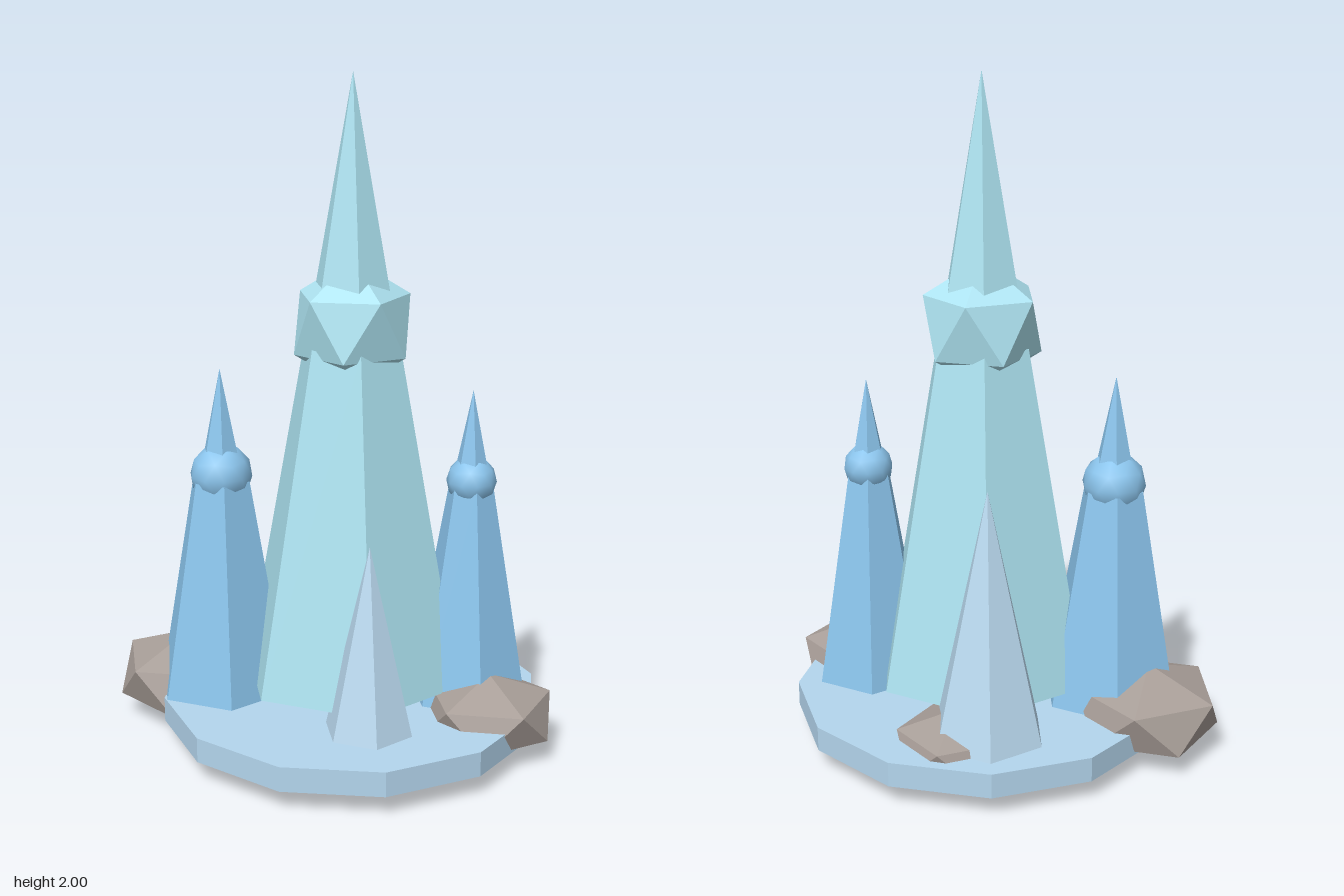
import * as THREE from 'three';

const AXIS_X = 0.06; // the disc and main tower sit slightly off centre
const GROUND = 0.14; // top of the disc

const paint = (color, flatShading = true) => new THREE.MeshStandardMaterial({ color, flatShading });

export function createModel() {
  const model = new THREE.Group();
  const ice = paint(0xaee4f2);
  const blue = paint(0x8cc6ee);
  const blueSmooth = paint(0x8cc6ee, false);
  const pale = paint(0xbcdcf2);
  const stone = paint(0xa89e98);

  function add(name, geometry, material, x, y, z, parent = model) {
    const mesh = new THREE.Mesh(geometry, material);
    mesh.name = name;
    mesh.position.set(x, y, z);
    parent.add(mesh);
    return mesh;
  }

  // Tapered prism between two heights; a top radius of 0 gives a spire
  function taper(name, material, x, z, y0, y1, r0, r1 = 0, sides = 6, parent = model) {
    const geometry = new THREE.CylinderGeometry(r1, r0, y1 - y0, sides);
    return add(name, geometry, material, x, (y0 + y1) / 2, z, parent);
  }

  // Icosahedron standing on one corner, with a separate vertical radius
  function gem(r, ry = r, detail = 0) {
    return new THREE.IcosahedronGeometry(1, detail)
      .rotateZ(Math.atan2(0.5257, 0.8507))
      .rotateY(Math.PI)
      .scale(r, ry, r);
  }

  // Disc
  taper('base', paint(0xb4d6ee), AXIS_X, 0, 0.065, GROUND, 0.575, 0.575, 12);

  // Main tower
  const main = new THREE.Group();
  main.name = 'mainTower';
  model.add(main);
  taper('mainShaft', ice, AXIS_X, 0, 0.19, 1.22, 0.345, 0.15, 6, main);
  add('mainCrown', gem(0.192), ice, AXIS_X, 1.28, 0, main);
  taper('mainSpire', ice, AXIS_X, 0, 1.36, 2, 0.12, 0, 6, main);

  // Side towers: shaft, round ball and spire
  const towers = [
    { name: 'rightTower', x: -0.322, z: -0.09, base: 0.213, top: 0.093, ball: 0.095, spire: 0.07, tip: 1.14 },
    { name: 'leftTower', x: 0.405, z: 0.09, base: 0.183, top: 0.068, ball: 0.075, spire: 0.058, tip: 1.09 },
  ];
  for (const t of towers) {
    const tower = new THREE.Group();
    tower.name = t.name;
    model.add(tower);
    taper('shaft', blue, t.x, t.z, GROUND, 0.8, t.base, t.top, 6, tower);
    add('ball', gem(t.ball, t.ball, 1), blueSmooth, t.x, 0.815, t.z, tower);
    taper('tip', blue, t.x, t.z, 0.81, t.tip, t.spire, 0, 6, tower);
  }

  // Crystals in front of and behind the main tower
  taper('frontCrystal', pale, AXIS_X, 0.307, GROUND, 0.7, 0.133);
  taper('backCrystal', pale, AXIS_X, -0.345, GROUND, 0.89, 0.173);

  // Squashed rocks half sunk into the disc: x, y, z, radius, vertical radius
  const rocks = [
    [-0.425, 0.138, -0.196, 0.24, 0.138],
    [0.438, 0.13, 0.223, 0.213, 0.122],
    [0.158, 0.115, -0.35, 0.187, 0.107],
  ];
  for (const [x, y, z, r, ry] of rocks) add('rock', gem(r, ry), stone, x, y, z);

  return model;
}
